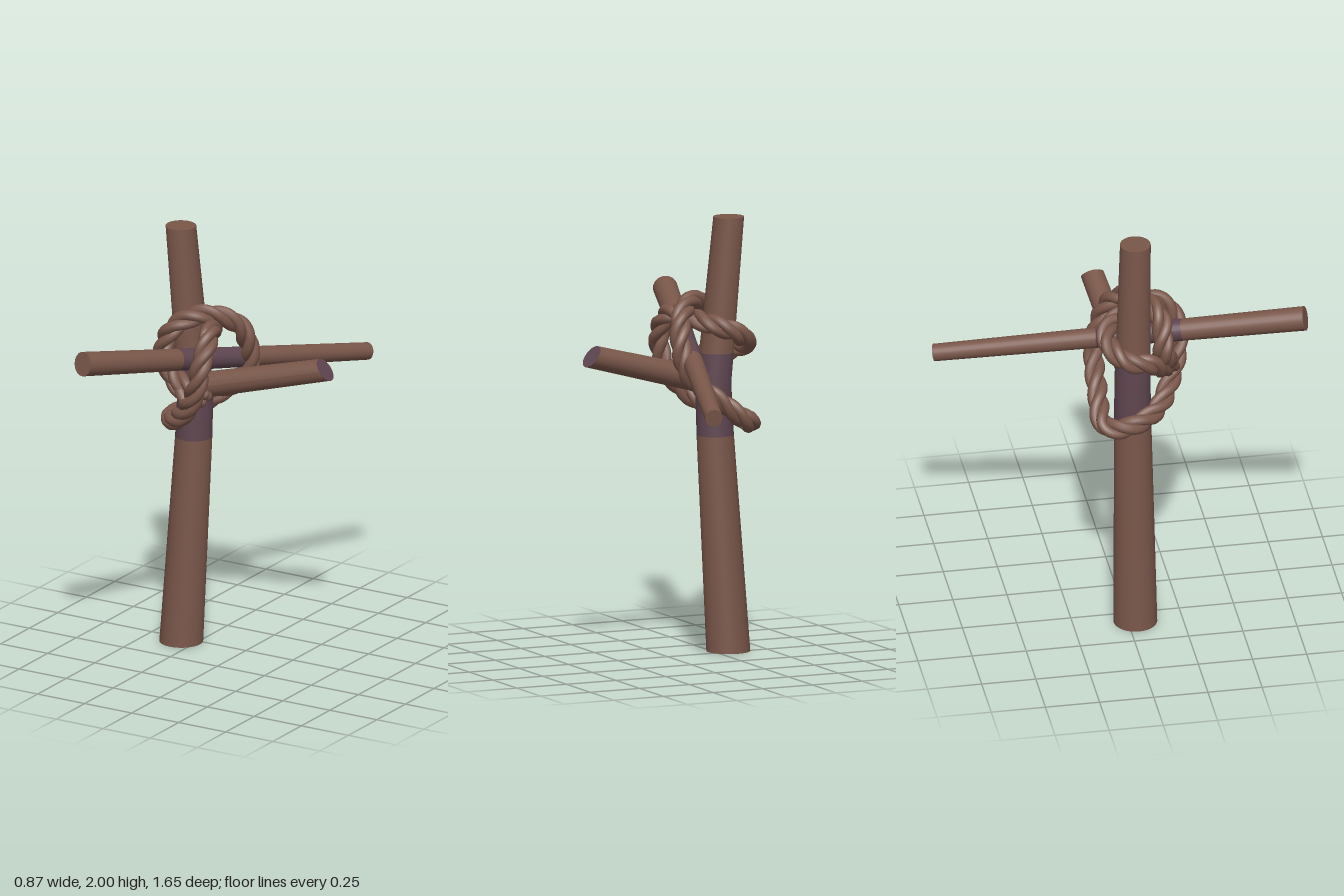
import * as THREE from 'three';

const V = (x, y, z) => new THREE.Vector3(x, y, z);

export function createModel() {
  const model = new THREE.Group();
  const bark = new THREE.MeshStandardMaterial({ color: 0x7a574a });
  bark.name = 'brown bark';
  const stain = new THREE.MeshStandardMaterial({ color: 0x5f4650 });
  stain.name = 'purple stained bark';

  const add = (name, geometry, material) => {
    const mesh = new THREE.Mesh(geometry, material);
    mesh.name = name;
    model.add(mesh);
    return mesh;
  };

  // Upright post: horizontal rings sheared sideways so the sections meet at the bend
  const postRings = [
    [0, -0.322, 0.1], [1.0, -0.256, 0.085], [1.24, -0.246, 0.082],
    [1.38, -0.262, 0.079], [2, -0.324, 0.07],
  ];
  for (let i = 0; i < postRings.length - 1; i++) {
    const [y0, x0, r0] = postRings[i];
    const [y1, x1, r1] = postRings[i + 1];
    const end = i === 0 || i === postRings.length - 2;
    const g = new THREE.CylinderGeometry(r1, r0, y1 - y0, 28, 1, !end);
    const p = g.attributes.position;
    for (let k = 0; k < p.count; k++) {
      const t = p.getY(k) / (y1 - y0) + 0.5;
      p.setX(k, p.getX(k) + x0 + (x1 - x0) * t);
    }
    g.translate(0, (y0 + y1) / 2, 0.035);
    add('postSection', g, i === 1 || i === 2 ? stain : bark);
  }

  // Round pole between two points; slant cuts the far end obliquely
  const pole = (name, a, b, ra, rb, material, open = false, slant = 0) => {
    const d = b.clone().sub(a);
    const len = d.length();
    const g = new THREE.CylinderGeometry(rb, ra, len, 24, 1, open);
    const q = new THREE.Quaternion().setFromUnitVectors(V(0, 1, 0), d.normalize());
    g.applyQuaternion(q);
    const mid = a.clone().add(b).multiplyScalar(0.5);
    g.translate(mid.x, mid.y, mid.z);
    if (slant) {
      const p = g.attributes.position;
      for (let k = 0; k < p.count; k++) {
        const v = V().fromBufferAttribute(p, k);
        if (v.clone().sub(mid).dot(d) > 0) {
          v.addScaledVector(d, -slant * (v.y - b.y));
          p.setXYZ(k, v.x, v.y, v.z);
        }
      }
      g.computeVertexNormals();
    }
    return add(name, g, material);
  };

  // Long crossing pole, stained where it passes the lashing
  const front = V(-0.375, 1.555, 0.81), back = V(0.155, 1.228, -0.81);
  const cuts = [0, 0.33, 0.56, 1];
  for (let i = 0; i < 3; i++) {
    const r = (t) => 0.056 - 0.016 * t;
    pole('crossPole', front.clone().lerp(back, cuts[i]), front.clone().lerp(back, cuts[i + 1]),
      r(cuts[i]), r(cuts[i + 1]), i === 1 ? stain : bark, i === 1);
  }

  // Short side branch with a slanted, stained cut
  pole('sideBranch', V(-0.25, 1.24, 0.035), V(0.4, 1.415, -0.035), 0.06, 0.053,
    [bark, stain, bark], false, 0.42);

  // Rope path: ring over the pole, down behind the post, round it and up again
  const path = new THREE.CatmullRomCurve3([
    [-0.1, 1.26, 0.2], [-0.24, 1.32, 0.2], [-0.34, 1.43, 0.16], [-0.28, 1.56, 0.16],
    [-0.17, 1.615, 0.09], [-0.06, 1.56, -0.02], [-0.03, 1.43, -0.08], [-0.06, 1.3, -0.11],
    [-0.2, 1.18, -0.12], [-0.36, 1.07, -0.11], [-0.385, 1.07, 0], [-0.3, 1.1, 0.14],
    [-0.19, 1.18, 0.22], [-0.11, 1.3, 0.265], [-0.08, 1.44, 0.26], [-0.09, 1.55, 0.17],
    [-0.15, 1.54, 0.05], [-0.21, 1.52, -0.06], [-0.31, 1.48, -0.09], [-0.385, 1.42, -0.02],
    [-0.37, 1.38, 0.1], [-0.27, 1.3, 0.17], [-0.16, 1.25, 0.23],
  ].map((p) => V(...p)), false, 'centripetal');

  // Three strands twisted round the path
  const steps = 260;
  const frames = path.computeFrenetFrames(steps, false);
  const turns = path.getLength() / 0.3;
  for (let s = 0; s < 3; s++) {
    const pts = [];
    for (let i = 0; i <= steps; i++) {
      const a = (turns * i / steps + s / 3) * Math.PI * 2;
      pts.push(path.getPointAt(i / steps)
        .addScaledVector(frames.normals[i], Math.cos(a) * 0.024)
        .addScaledVector(frames.binormals[i], Math.sin(a) * 0.024));
    }
    const strand = new THREE.CatmullRomCurve3(pts);
    add('ropeStrand', new THREE.TubeGeometry(strand, 420, 0.025, 9), bark);
    // Rounded strand ends
    for (const p of [pts[0], pts[steps]]) {
      add('strandEnd', new THREE.SphereGeometry(0.025, 10, 8), bark).position.copy(p);
    }
  }
  return model;
}
